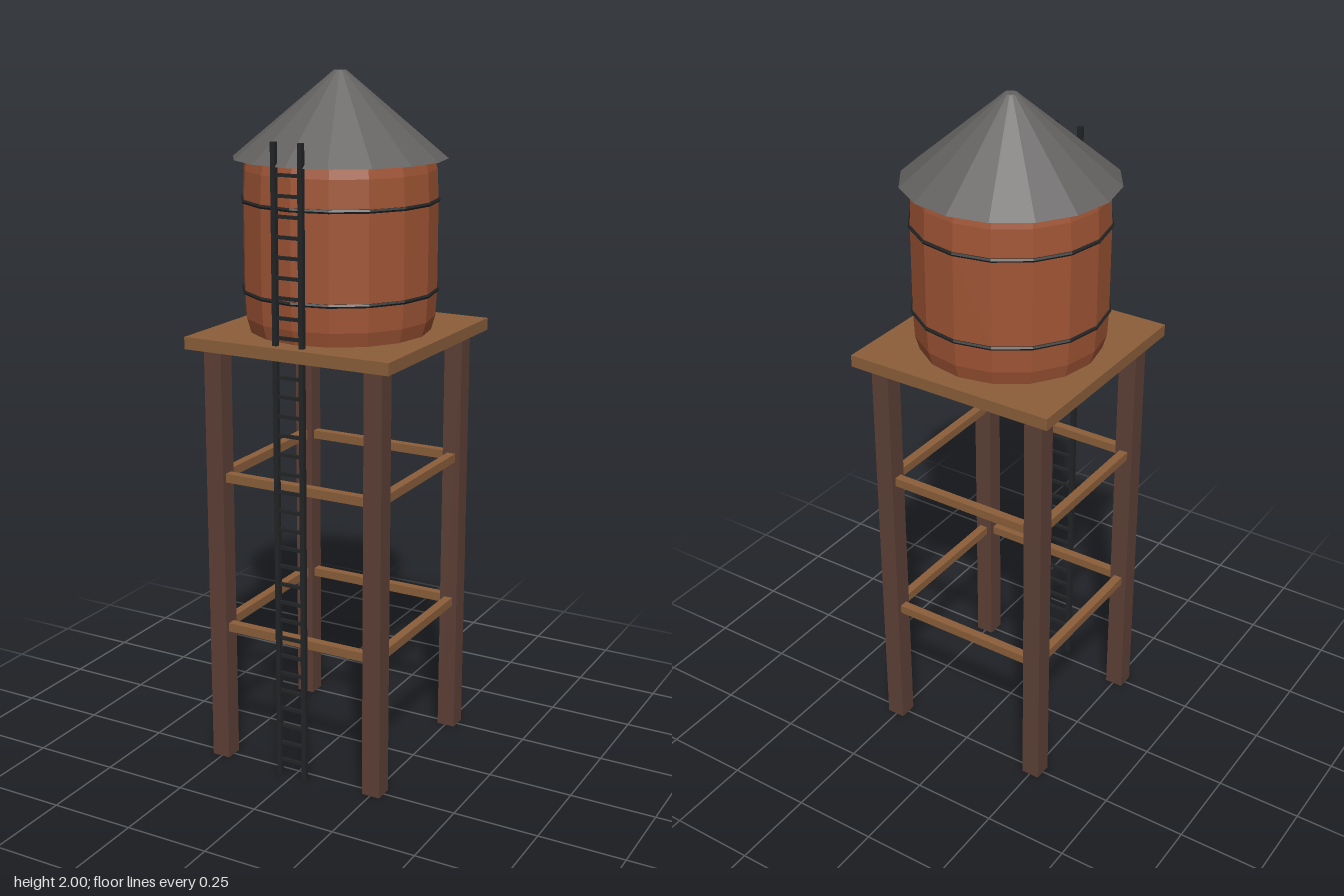
import * as THREE from 'three';

const material = (name, color, extra = {}) => {
  const m = new THREE.MeshStandardMaterial({ color, flatShading: true, ...extra });
  m.name = name;
  return m;
};

export function createModel() {
  const model = new THREE.Group();
  model.name = 'waterTower';

  const darkWood = material('dark wood', 0x5d4037);
  const plankWood = material('plank wood', 0x8b5e3a);
  const tankWood = material('tank wood', 0xa05535);
  const roofGrey = material('roof grey', 0x646261);
  const blackIron = material('black iron', 0x232425);

  const add = (parent, name, geometry, mat, x = 0, y = 0, z = 0) => {
    const mesh = new THREE.Mesh(geometry, mat);
    mesh.name = name;
    mesh.position.set(x, y, z);
    parent.add(mesh);
    return mesh;
  };
  const group = (name) => {
    const g = new THREE.Group();
    g.name = name;
    model.add(g);
    return g;
  };

  const LEG = 0.252;
  const SIDES = 16;

  // Four square legs
  const legs = group('legs');
  const legGeo = new THREE.BoxGeometry(0.055, 1.27, 0.055);
  for (const x of [-LEG, LEG])
    for (const z of [-LEG, LEG]) add(legs, 'leg', legGeo, darkWood, x, 0.635, z);

  // Two rings of horizontal braces
  const braces = group('braces');
  const braceX = new THREE.BoxGeometry(2 * LEG, 0.026, 0.026);
  const braceZ = new THREE.BoxGeometry(0.026, 0.026, 2 * LEG);
  for (const y of [0.415, 0.873])
    for (const s of [-LEG, LEG]) {
      add(braces, 'crossBrace', braceX, plankWood, 0, y, s);
      add(braces, 'sideBrace', braceZ, plankWood, s, y, 0);
    }

  // Platform
  add(model, 'platform', new THREE.BoxGeometry(0.636, 0.035, 0.636), plankWood, 0, 1.267, 0);

  // Faceted tank, drawn in at both ends
  const profile = [[0, 1.28], [0.257, 1.28], [0.27, 1.325], [0.274, 1.4], [0.274, 1.66],
    [0.27, 1.735], [0.262, 1.77], [0, 1.77]].map(([r, y]) => new THREE.Vector2(r, y));
  add(model, 'tank', new THREE.LatheGeometry(profile, SIDES), tankWood);

  // Iron hoops
  const hoopGeo = new THREE.TorusGeometry(0.274, 0.006, 6, SIDES).rotateX(Math.PI / 2);
  for (const y of [1.4, 1.652]) add(model, 'hoop', hoopGeo, blackIron, 0, y, 0);

  // Conical roof with a small flat tip
  add(model, 'roof', new THREE.CylinderGeometry(0.018, 0.3, 0.235, SIDES), roofGrey, 0, 1.8825, 0);

  // Ladder through the platform at the front
  const ladder = group('ladder');
  const railGeo = new THREE.BoxGeometry(0.014, 1.83, 0.014);
  for (const x of [-0.041, 0.041]) add(ladder, 'ladderRail', railGeo, blackIron, x, 0.915, 0.287);
  const rungGeo = new THREE.BoxGeometry(0.082, 0.009, 0.009);
  for (let i = 0; i < 32; i++) add(ladder, 'rung', rungGeo, blackIron, 0, 0.049 + i * 0.0547, 0.287);

  return model;
}
